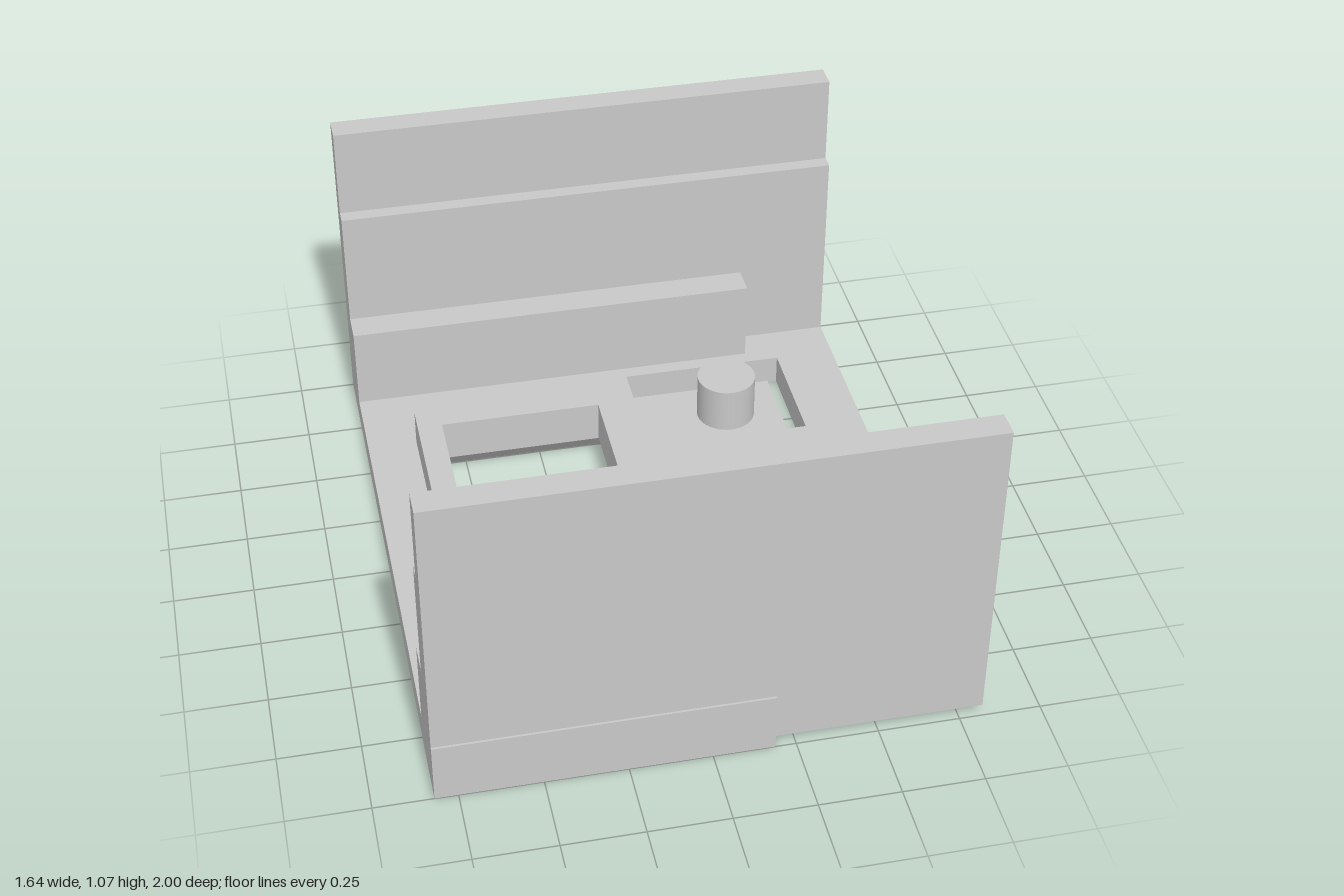
import * as THREE from 'three';

const X = 0.82; // half width

export function createModel() {
  const model = new THREE.Group();
  model.name = 'bracket';
  const grey = new THREE.MeshStandardMaterial({ color: 0xc8c8c8 });
  grey.name = 'light grey plastic';

  const add = (name, geometry) => {
    const mesh = new THREE.Mesh(geometry, grey);
    mesh.name = name;
    model.add(mesh);
    return mesh;
  };

  // [z, y] profile extruded along x
  const extrudeX = (name, profile, x0, x1) => {
    const shape = new THREE.Shape(profile.map(([z, y]) => new THREE.Vector2(-z, y)));
    const geometry = new THREE.ExtrudeGeometry(shape, { depth: x1 - x0, bevelEnabled: false });
    geometry.rotateY(Math.PI / 2).translate(x0, 0, 0);
    add(name, geometry);
  };

  // counter-clockwise rectangle in plan, with z pointing down the sheet
  const rect = (PathType, x0, x1, z0, z1) => new PathType([
    new THREE.Vector2(x0, -z1), new THREE.Vector2(x1, -z1),
    new THREE.Vector2(x1, -z0), new THREE.Vector2(x0, -z0),
  ]);

  // floor with window, button slot and round hole
  const floor = rect(THREE.Shape, -X, X, -0.863, 0.863);
  floor.holes.push(
    rect(THREE.Path, -0.65, 0.01, -0.502, 0.5),
    rect(THREE.Path, 0.093, 0.625, -0.718, -0.328),
    new THREE.Path().absarc(0.4, -0.52, 0.066, 0, Math.PI * 2),
  );
  add('floor', new THREE.ExtrudeGeometry(floor, { depth: 0.1, bevelEnabled: false, curveSegments: 32 })
    .rotateX(-Math.PI / 2));

  // stepped side walls with chamfered foot, inner rails and outer skirts
  for (const [side, s] of [['front', 1], ['back', -1]]) {
    const flip = (points) => points.map(([z, y]) => [z * s, y]);
    extrudeX(side + 'Wall', flip([
      [0.863, 0], [0.958, 0], [0.993, 0.036], [0.993, 1.065],
      [0.91, 1.065], [0.91, 0.77], [0.863, 0.77],
    ]), -X, X);
    extrudeX(side + 'Rail', flip([
      [0.765, 0.1], [0.863, 0.1], [0.863, 0.376], [0.765, 0.376],
    ]), -X, 0.523);
    extrudeX(side + 'Skirt', flip([
      [0.958, 0], [1, 0], [1, 0.198], [0.993, 0.198], [0.993, 0.036],
    ]), -X, 0.187);
  }

  // window frame: rectangular ring, flared open towards the underside
  const rings = [[0.01, 0], [0.08, 0.08], [0.08, 0.22], [0, 0.22], [0, 0.1]]; // inset, height
  const corner = ([inset, y], i) => [
    i % 4 === 0 || i % 4 === 3 ? -0.66 + inset : 0.02 - inset,
    y,
    i % 4 < 2 ? -0.512 + inset : 0.51 - inset,
  ];
  const positions = [];
  for (let r = 0; r < rings.length - 1; r++) {
    for (let i = 0; i < 4; i++) {
      const a = corner(rings[r], i), b = corner(rings[r], i + 1);
      const c = corner(rings[r + 1], i + 1), d = corner(rings[r + 1], i);
      positions.push(...a, ...b, ...c, ...a, ...c, ...d);
    }
  }
  const frame = new THREE.BufferGeometry();
  frame.setAttribute('position', new THREE.Float32BufferAttribute(positions, 3));
  frame.computeVertexNormals();
  add('windowFrame', frame);

  // springy tongue carrying the push button
  add('buttonTongue', new THREE.BoxGeometry(0.487, 0.045, 0.29)).position.set(0.3365, 0.0225, -0.522);
  add('button', new THREE.CylinderGeometry(0.097, 0.097, 0.16, 40)).position.set(0.397, 0.12, -0.525);

  return model;
}
